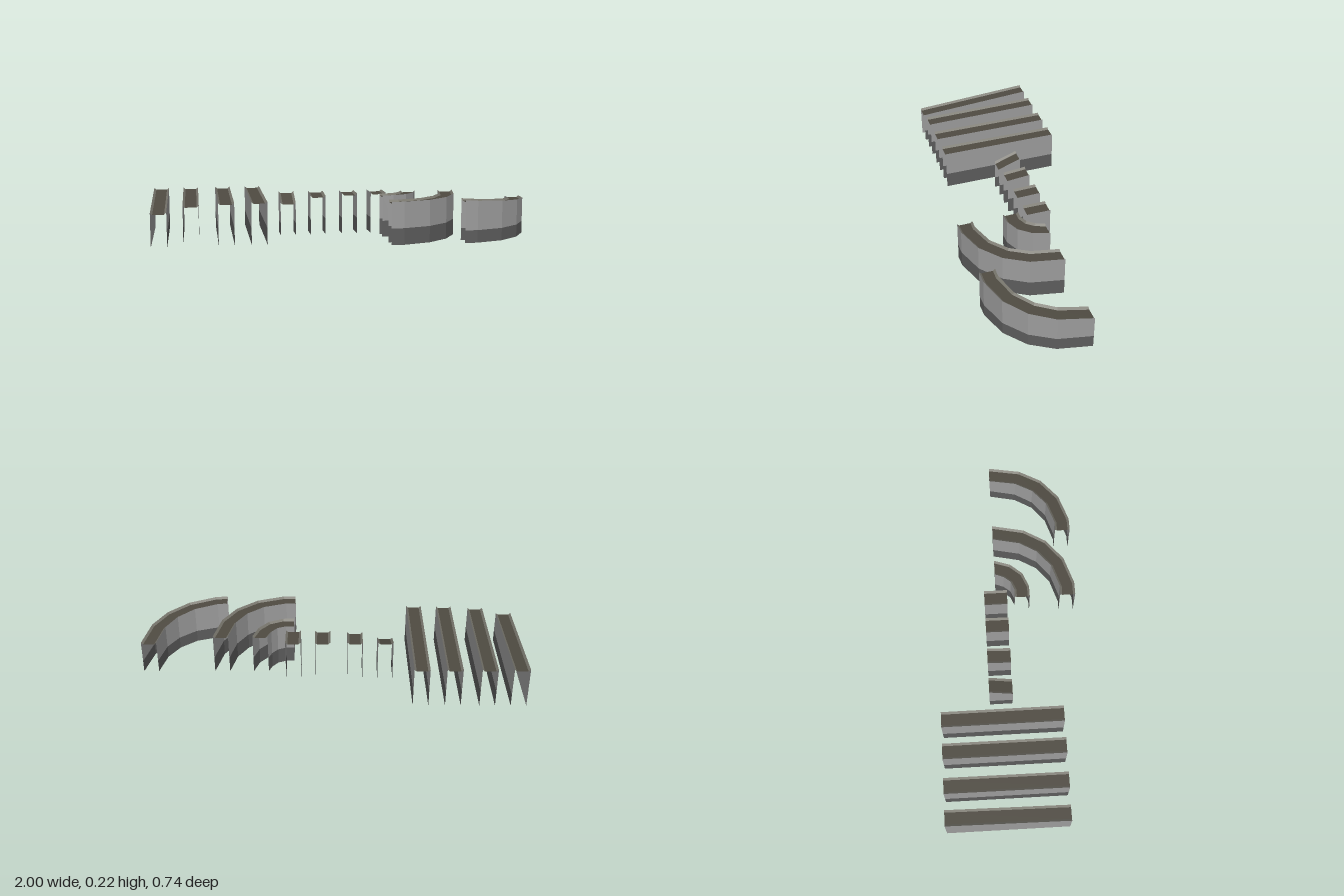
import * as THREE from 'three';

const material = (name, color) =>
  new THREE.MeshStandardMaterial({ name, color, side: THREE.DoubleSide });
const roadMat = material('road brown', 0x4f4b42);
const rimMat = material('rim grey', 0x77756c);
const wallMat = material('wall light grey', 0x9c9c9c);
const baseMat = material('base dark grey', 0x5c5c5c);

const HALF = 0.04, FLOOR = 0.029, TOP = 0.22, DIP = 0.01;

// Sideways direction at every path point, averaged from both neighbours
function sideways(path) {
  return path.map(([x, z], i) => {
    const a = path[Math.max(i - 1, 0)], b = path[Math.min(i + 1, path.length - 1)];
    const dx = b[0] - a[0], dz = b[1] - a[1], l = Math.hypot(dx, dz);
    return [-dz / l, dx / l];
  });
}

// Flat-shaded strip between two rails of equal length
function ribbon(a, b) {
  const pos = [];
  for (let i = 0; i < a.length - 1; i++) {
    pos.push(...a[i], ...a[i + 1], ...b[i], ...b[i], ...a[i + 1], ...b[i + 1]);
  }
  const g = new THREE.BufferGeometry();
  g.setAttribute('position', new THREE.Float32BufferAttribute(pos, 3));
  g.computeVertexNormals();
  return g;
}

// One channel piece: floor, two sloping rims and two hanging walls
function channel(name, path, { drop = 0, band = 0.085, plainSide = 0, ends = null } = {}) {
  const group = new THREE.Group();
  group.name = name;
  const side = sideways(path);
  if (ends) { side[0] = ends[0]; side[side.length - 1] = ends[1]; }
  const lengths = [0];
  for (let i = 1; i < path.length; i++) {
    lengths.push(lengths[i - 1] + Math.hypot(path[i][0] - path[i - 1][0], path[i][1] - path[i - 1][1]));
  }
  const total = lengths[lengths.length - 1];
  const rail = (offset, height) => path.map(([x, z], i) =>
    [x + side[i][0] * offset, height(lengths[i] / total), z + side[i][1] * offset]);
  const top = t => TOP - drop * t;
  const floor = t => top(t) - DIP;
  const add = (part, a, b, mat) => {
    const mesh = new THREE.Mesh(ribbon(a, b), mat);
    mesh.name = part;
    group.add(mesh);
  };
  add('channelFloor', rail(FLOOR, floor), rail(-FLOOR, floor), roadMat);
  for (const s of [1, -1]) {
    const outer = rail(s * HALF, top), inner = rail(s * FLOOR, floor);
    const seam = rail(s * HALF, () => band), foot = rail(s * HALF, () => 0);
    const flip = (a, b) => (s > 0 ? [a, b] : [b, a]);
    add('rim', ...flip(outer, inner), rimMat);
    add('upperWall', ...flip(seam, outer), wallMat);
    add('lowerWall', ...flip(foot, seam), s === plainSide ? wallMat : baseMat);
  }
  return group;
}

export function createModel() {
  const model = new THREE.Group();
  model.name = 'channelKit';

  // Straight pieces, long and short, from steepest to level
  const drops = [0.045, 0.012, 0.003, 0];
  const longX = [-0.96, -0.8, -0.625, -0.46];
  const shortX = [-0.29, -0.13, 0.04, 0.195];
  drops.forEach((drop, i) => {
    const band = i === 0 ? 0.065 : 0.085;
    model.add(channel('longStraight' + (i + 1), [[longX[i], -0.37], [longX[i], 0.26]],
      { drop, band, plainSide: i === 0 ? 1 : 0 }));
    model.add(channel('shortStraight' + (i + 1), [[shortX[i], -0.118], [shortX[i], 0.004]], { drop, band }));
  });

  // Quarter bends
  const bend = (name, points, x, options) => model.add(channel(name,
    points.map(([px, pz]) => [x + px, pz - 0.055]), { ...options, ends: [[0, 1], [1, 0]] }));
  const small = [[0, 0.14], [0.05, 0.14], [0.11, 0.115], [0.152, 0.065], [0.175, 0]];
  const large = [[0, 0.383], [0.057, 0.383], [0.19, 0.34], [0.288, 0.26], [0.35, 0.155], [0.383, 0]];
  bend('smallBend', small, 0.195);
  bend('largeBend', large, 0.195);
  bend('slopingBend', large, 0.577, { drop: 0.04, band: 0.065 });
  return model;
}
